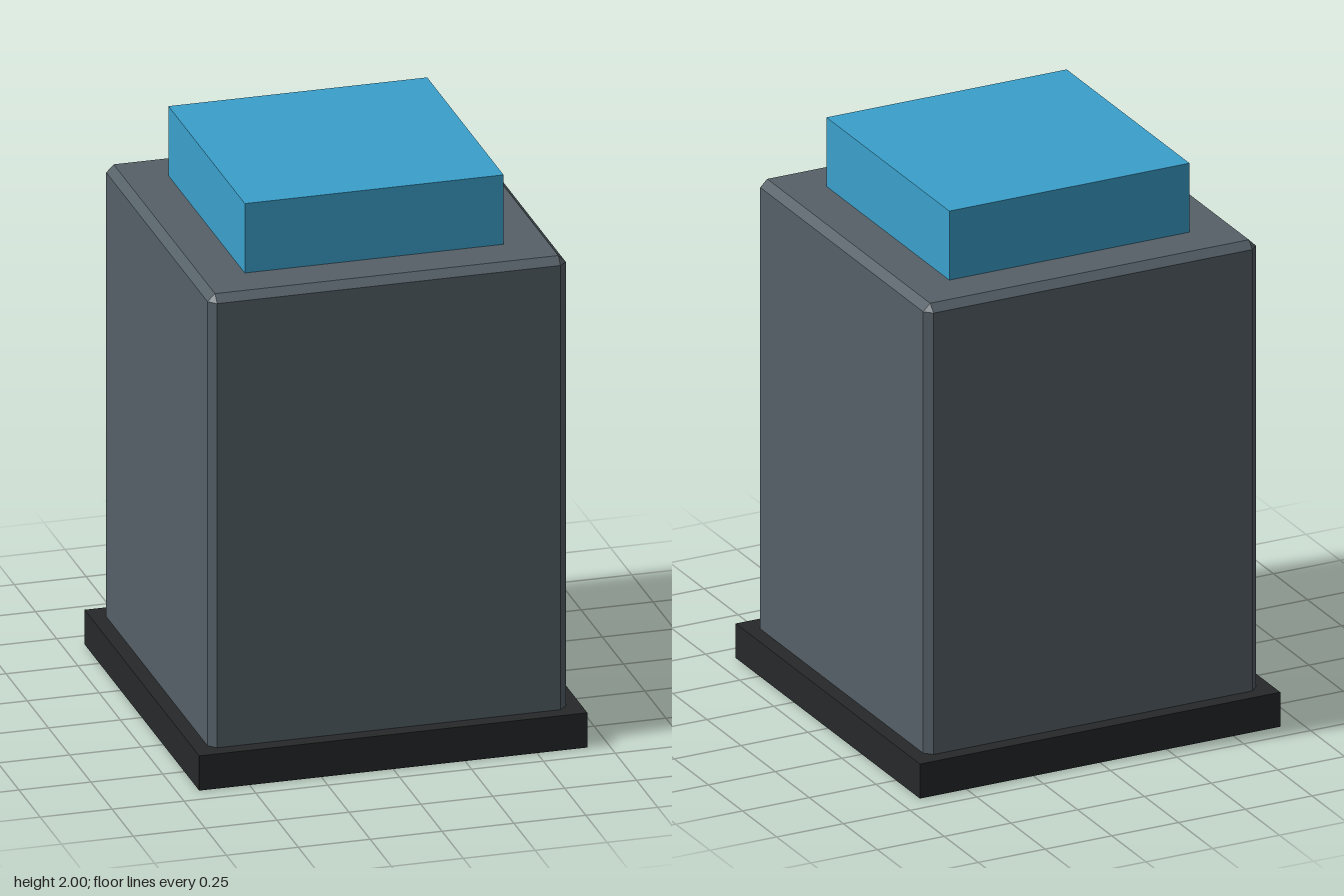
import * as THREE from 'three';
import { ConvexGeometry } from 'three/addons/geometries/ConvexGeometry.js';

const BASE_COLOR = 0x262829;
const BODY_COLOR = 0x556067;
const CAP_COLOR = 0x3aa0cb;

// Box with every edge and corner cut flat by the given chamfer
function chamferedBox(width, height, depth, chamfer) {
  const half = [width / 2, height / 2, depth / 2];
  const points = [];
  for (const sx of [-1, 1]) for (const sy of [-1, 1]) for (const sz of [-1, 1]) {
    // Each corner becomes three points, one lying on each adjoining face
    for (let face = 0; face < 3; face++) {
      const [x, y, z] = half.map((h, axis) => (axis === face ? h : h - chamfer));
      points.push(new THREE.Vector3(sx * x, sy * y, sz * z));
    }
  }
  return new ConvexGeometry(points);
}

// Mesh standing on the given height
function addPart(group, name, geometry, color, bottom) {
  const material = new THREE.MeshStandardMaterial({ color, flatShading: true });
  const mesh = new THREE.Mesh(geometry, material);
  geometry.computeBoundingBox();
  mesh.position.y = bottom - geometry.boundingBox.min.y;
  mesh.name = name;
  group.add(mesh);
}

export function createModel() {
  const group = new THREE.Group();
  group.name = 'pushButtonBlock';

  // Flat plinth
  addPart(group, 'base', new THREE.BoxGeometry(1.35, 0.125, 1.35), BASE_COLOR, 0);

  // Tall chamfered housing, sunk into the plinth
  addPart(group, 'body', chamferedBox(1.246, 1.74, 1.246, 0.026), BODY_COLOR, 0.01);

  // Square cap, sunk a little into the housing
  addPart(group, 'cap', new THREE.BoxGeometry(0.9, 0.3, 0.9), CAP_COLOR, 1.7);

  return group;
}
